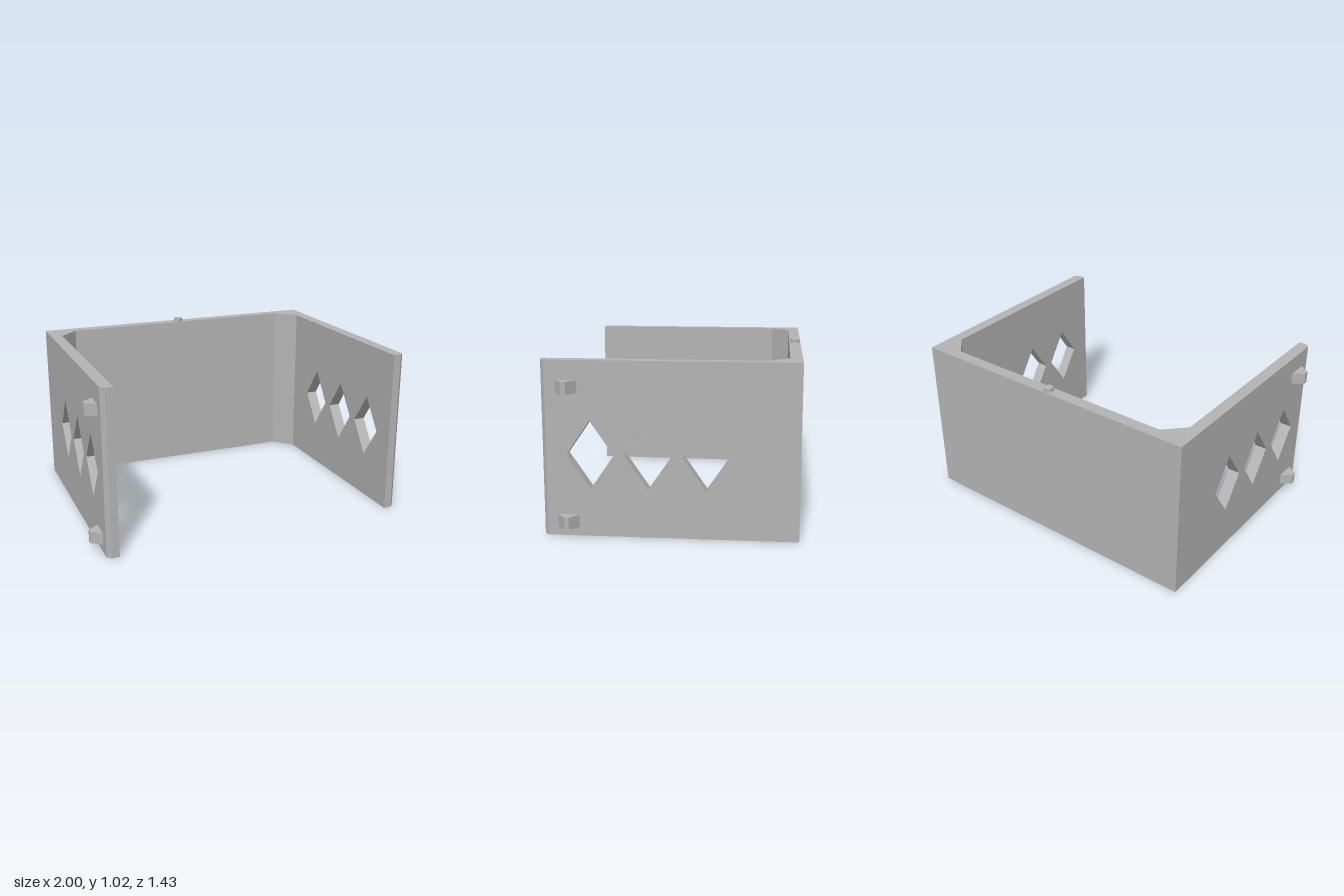
import * as THREE from 'three';

const H = 0.995;          // wall height
const T = 0.071;          // side wall thickness
const SPLAY = 0.0085;     // side walls open slightly towards the front
const outer = z => 0.931 + SPLAY * z;
const inner = z => outer(z) - T;

export function createModel() {
  const group = new THREE.Group();
  const grey = new THREE.MeshStandardMaterial({ color: 0xb4b4b4 });
  grey.name = 'grey';

  const add = (name, geometry) => {
    const mesh = new THREE.Mesh(geometry, grey);
    mesh.name = name;
    group.add(mesh);
  };

  // Upright prism from a plan outline of [x, z] points
  const prism = (points, y0, y1) => {
    const shape = new THREE.Shape(points.map(([x, z]) => new THREE.Vector2(x, -z)));
    return new THREE.ExtrudeGeometry(shape, { depth: y1 - y0, bevelEnabled: false })
      .rotateX(-Math.PI / 2).translate(0, y0, 0);
  };

  // Back wall with its diagonal corner braces
  const back = -0.715, brace = -0.53;
  const half = [[0.74, -0.645], [inner(brace), brace], [outer(brace), brace], [outer(back), back]];
  add('backWall', prism([...half, ...half.map(([x, z]) => [-x, z]).reverse()], 0, H));

  // Side wall with three diamond openings, drawn in (-z, y)
  const front = 0.69;
  const sideWall = s => {
    const shape = new THREE.Shape([[-front, 0], [-brace, 0], [-brace, H], [-front, H]]
      .map(p => new THREE.Vector2(...p)));
    for (const z of [0.443, 0.12, -0.202]) {
      const cy = 0.467, w = 0.132, h = 0.193;
      shape.holes.push(new THREE.Path([[-z - w, cy], [-z, cy + h], [-z + w, cy], [-z, cy - h]]
        .map(p => new THREE.Vector2(...p))));
    }
    const geometry = new THREE.ExtrudeGeometry(shape, { depth: T, bevelEnabled: false })
      .rotateY(Math.PI / 2).translate(s > 0 ? inner(0) : -outer(0), 0, 0);
    const p = geometry.attributes.position;
    for (let i = 0; i < p.count; i++) p.setX(i, p.getX(i) + s * SPLAY * p.getZ(i));
    geometry.computeVertexNormals();
    return geometry;
  };

  for (const [side, s] of [['left', 1], ['right', -1]]) {
    const mirror = points => points.map(([x, z]) => [s * x, z]);
    add(side + 'Wall', sideWall(s));

    // Chamfered front edge
    add(side + 'FrontEdge', prism(mirror([
      [inner(front), front], [outer(front), front], [0.913, 0.713], [inner(0.713), 0.713],
    ]), 0, H));

    // Wedge-shaped snap catches
    for (const [level, y] of [['Lower', 0.05], ['Upper', 0.813]]) {
      add(side + level + 'Catch', prism(mirror([
        [0.92, 0.51], [outer(0.51), 0.51], [1, 0.557], [1, 0.583], [outer(0.63), 0.63], [0.92, 0.63],
      ]), y, y + 0.072));
    }
  }

  // Small locating pin on top of the back wall
  add('topPin', new THREE.CylinderGeometry(0.028, 0.028, 0.04, 32).translate(0, 0.996, -0.682));

  return group;
}
